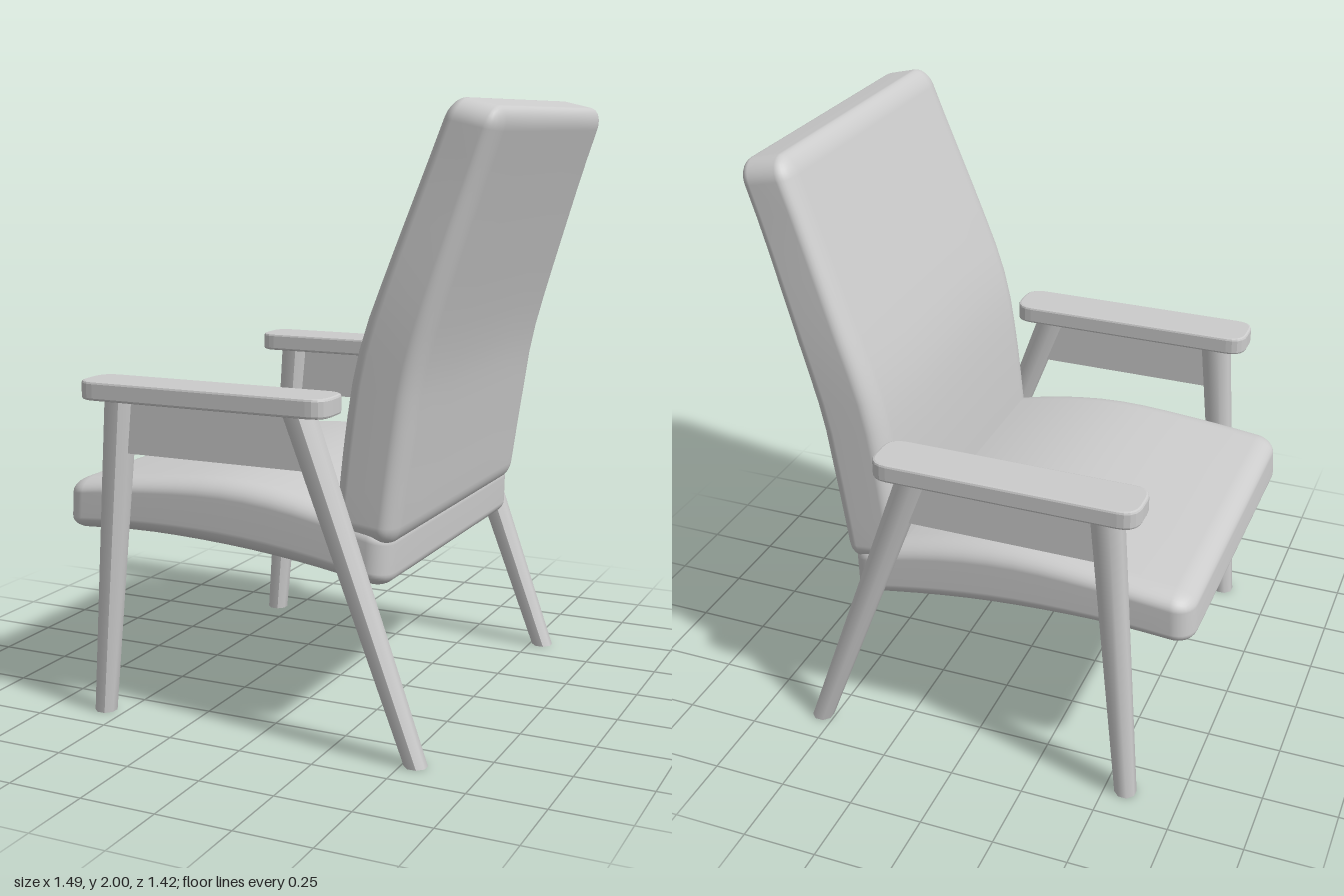
import * as THREE from 'three';
import { mergeVertices } from 'three/addons/utils/BufferGeometryUtils.js';

const material = new THREE.MeshStandardMaterial({ color: 0xcccccc });
const EDGE = 4; // segments across each rounded edge

function addMesh(parent, name, geometry) {
  const mesh = new THREE.Mesh(geometry, material);
  mesh.name = name;
  parent.add(mesh);
  return mesh;
}

const spline = (points) => new THREE.SplineCurve(points.map(([x, y]) => new THREE.Vector2(x, y)));

// One axis of a rounded box: returns [inner position, edge offset -1..1]
function splitAxis(t, count, half, radius) {
  const i = Math.round(((t + 1) / 2) * count);
  const inner = half - radius;
  if (i < EDGE) return [-inner, -Math.tan(((EDGE - i) / EDGE) * Math.PI / 4)];
  if (i > count - EDGE) return [inner, Math.tan(((i - count + EDGE) / EDGE) * Math.PI / 4)];
  return [-inner + (2 * inner * (i - EDGE)) / (count - 2 * EDGE), 0];
}

// Rounded slab bent between a lower and an upper side curve; u = length, v = thickness, z = width
function cushionGeometry(lower, upper, size, radii, widthAt) {
  const counts = [EDGE * 2 + 12, EDGE * 2 + 1, EDGE * 2 + 4];
  let geometry = new THREE.BoxGeometry(2, 2, 2, ...counts);
  geometry.deleteAttribute('uv');
  geometry.deleteAttribute('normal');
  geometry = mergeVertices(geometry);
  const pos = geometry.attributes.position;
  const offset = new THREE.Vector3();
  for (let i = 0; i < pos.count; i++) {
    const t = [pos.getX(i), pos.getY(i), pos.getZ(i)];
    const parts = t.map((value, a) => splitAxis(value, counts[a], size[a] / 2, radii[a]));
    offset.set(parts[0][1], parts[1][1], parts[2][1]).normalize();
    const p = offset.toArray().map((d, a) => parts[a][0] + d * radii[a]);
    const u = THREE.MathUtils.clamp(p[0] / size[0] + 0.5, 0, 1);
    const point = lower.getPointAt(u).lerp(upper.getPointAt(u), p[1] / size[1] + 0.5);
    pos.setXYZ(i, point.x, point.y, p[2] * widthAt(u));
  }
  geometry.computeVertexNormals();
  return geometry;
}

// Tapered leg leaning along x, with level ends
function legGeometry(topX, bottomX, height) {
  const geometry = new THREE.CylinderGeometry(0.054, 0.037, height, 8, 1);
  geometry.rotateY(Math.PI / 8);
  geometry.translate(0, height / 2, 0);
  const pos = geometry.attributes.position;
  for (let i = 0; i < pos.count; i++) {
    pos.setX(i, pos.getX(i) + THREE.MathUtils.lerp(bottomX, topX, pos.getY(i) / height));
  }
  geometry.computeVertexNormals();
  return geometry;
}

// Flat bar with rounded plan corners and softened edges
function armGeometry(length, width, thickness) {
  const bevel = 0.008, r = 0.055;
  const x = length / 2 - bevel, y = width / 2 - bevel;
  const shape = new THREE.Shape();
  shape.moveTo(-x + r, -y);
  shape.lineTo(x - r, -y);
  shape.quadraticCurveTo(x, -y, x, -y + r);
  shape.lineTo(x, y - r);
  shape.quadraticCurveTo(x, y, x - r, y);
  shape.lineTo(-x + r, y);
  shape.quadraticCurveTo(-x, y, -x, y - r);
  shape.lineTo(-x, -y + r);
  shape.quadraticCurveTo(-x, -y, -x + r, -y);
  const geometry = new THREE.ExtrudeGeometry(shape, {
    depth: thickness - 2 * bevel, bevelSize: bevel, bevelThickness: bevel, bevelSegments: 2, curveSegments: 5,
  });
  geometry.translate(0, 0, bevel - thickness / 2);
  return geometry.rotateX(-Math.PI / 2);
}

// Panel under the arm, its ends slanted to run into both legs
function panelGeometry() {
  const shape = new THREE.Shape();
  shape.moveTo(-0.49, 0.885);
  shape.lineTo(0.22, 0.885);
  shape.lineTo(0.15, 1.065);
  shape.lineTo(-0.48, 1.065);
  shape.closePath();
  const geometry = new THREE.ExtrudeGeometry(shape, { depth: 0.04, bevelEnabled: false });
  return geometry.translate(0, 0, -0.02);
}

export function createModel() {
  const chair = new THREE.Group();
  chair.name = 'armchair';

  // Arched seat cushion
  const seatBottom = spline([[-0.755, 0.583], [-0.47, 0.597], [-0.16, 0.585], [0.11, 0.557], [0.415, 0.508]]);
  const seatTop = spline([[-0.745, 0.755], [-0.47, 0.787], [-0.16, 0.807], [0.11, 0.778], [0.42, 0.7]]);
  const seat = addMesh(chair, 'seatCushion',
    cushionGeometry(seatBottom, seatTop, [1.18, 0.19, 1.165], [0.07, 0.05, 0.08], () => 1));
  seat.position.z = -0.007;

  // Curved, reclined back cushion, narrowing towards the top
  const backRear = spline([[0.43, 0.64], [0.477, 0.96], [0.525, 1.23], [0.662, 1.68], [0.758, 1.967]]);
  const backFront = spline([[0.225, 0.665], [0.26, 1.0], [0.305, 1.25], [0.4, 1.52], [0.585, 2.008]]);
  const back = addMesh(chair, 'backCushion',
    cushionGeometry(backRear, backFront, [1.38, 0.19, 1.17], [0.07, 0.045, 0.08],
      (u) => 1 - 0.06 * THREE.MathUtils.smoothstep(u, 0.45, 1)));
  back.position.z = -0.007;

  // Side frames
  for (const [side, sign] of [['left', 1], ['right', -1]]) {
    const frame = new THREE.Group();
    frame.name = side + 'SideFrame';
    frame.position.z = 0.626 * sign;
    chair.add(frame);
    const arm = addMesh(frame, 'armrest', armGeometry(0.875, 0.17, 0.062));
    arm.position.set(-0.163, 1.09, 0);
    addMesh(frame, 'frontLeg', legGeometry(-0.482, -0.57, 1.065));
    addMesh(frame, 'rearLeg', legGeometry(0.15, 0.543, 1.065));
    addMesh(frame, 'armPanel', panelGeometry());
  }
  return chair;
}
